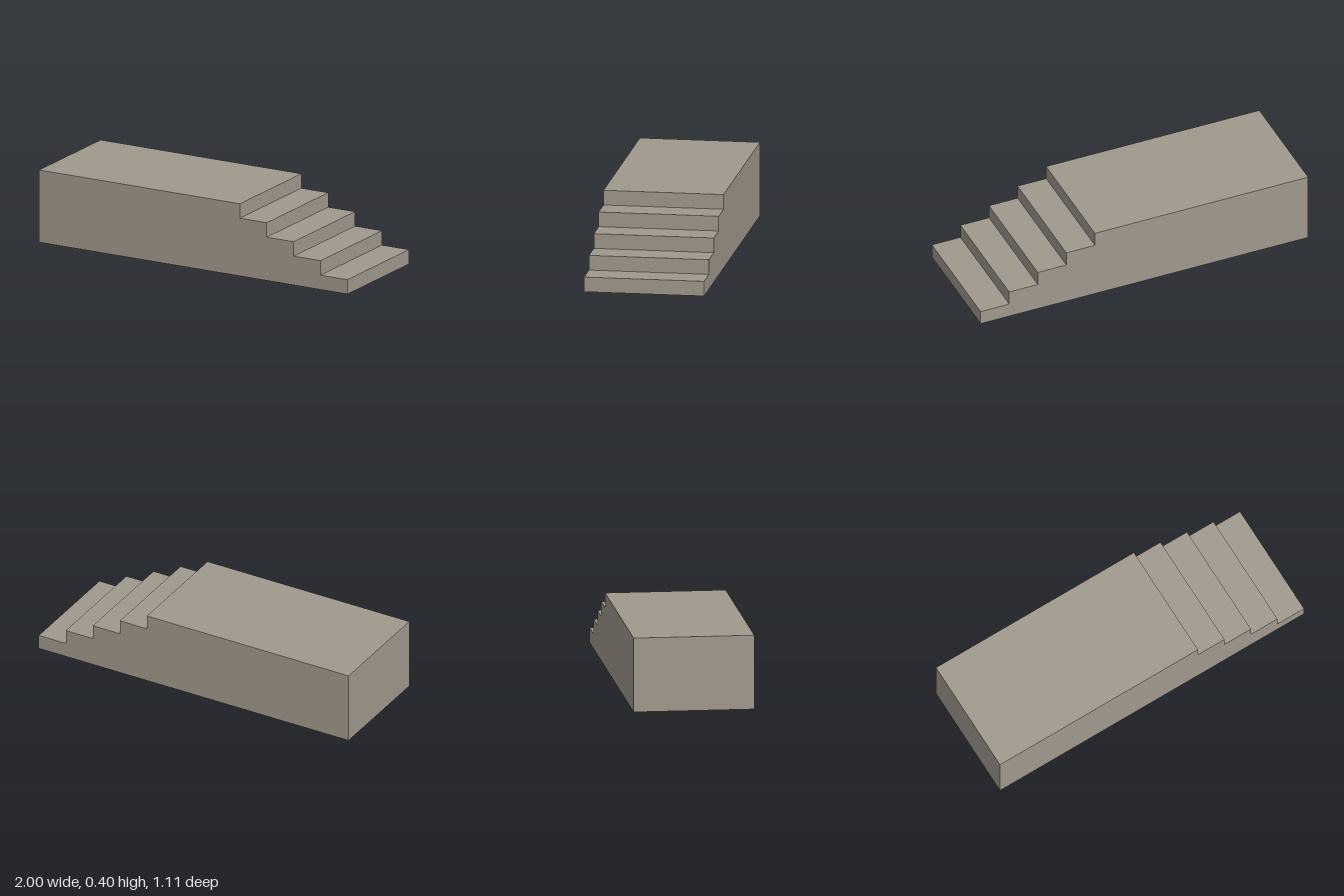
import * as THREE from 'three';

const LENGTH = 1.897, WIDTH = 0.645, STEPS = 5, RISE = 0.08, TREAD = 0.1655;

export function createModel() {
  const group = new THREE.Group();
  group.name = 'steppedPlatform';
  const stone = new THREE.MeshStandardMaterial({ color: 0xa0988c });
  stone.name = 'warm grey stone';

  // Side profile: a long platform with steps descending toward +x
  const profile = new THREE.Shape();
  profile.moveTo(-LENGTH / 2, 0);
  for (let i = 0; i < STEPS; i++) {
    const x = LENGTH / 2 - i * TREAD;
    profile.lineTo(x, i * RISE);
    profile.lineTo(x, (i + 1) * RISE);
  }
  profile.lineTo(-LENGTH / 2, STEPS * RISE);
  profile.closePath();

  const geometry = new THREE.ExtrudeGeometry(profile, { depth: WIDTH, bevelEnabled: false });
  geometry.translate(0, 0, -WIDTH / 2);
  const platform = new THREE.Mesh(geometry, stone);
  platform.name = 'platformWithSteps';

  // The whole block stands turned on the ground
  platform.rotation.y = THREE.MathUtils.degToRad(14.75);
  group.add(platform);
  return group;
}
